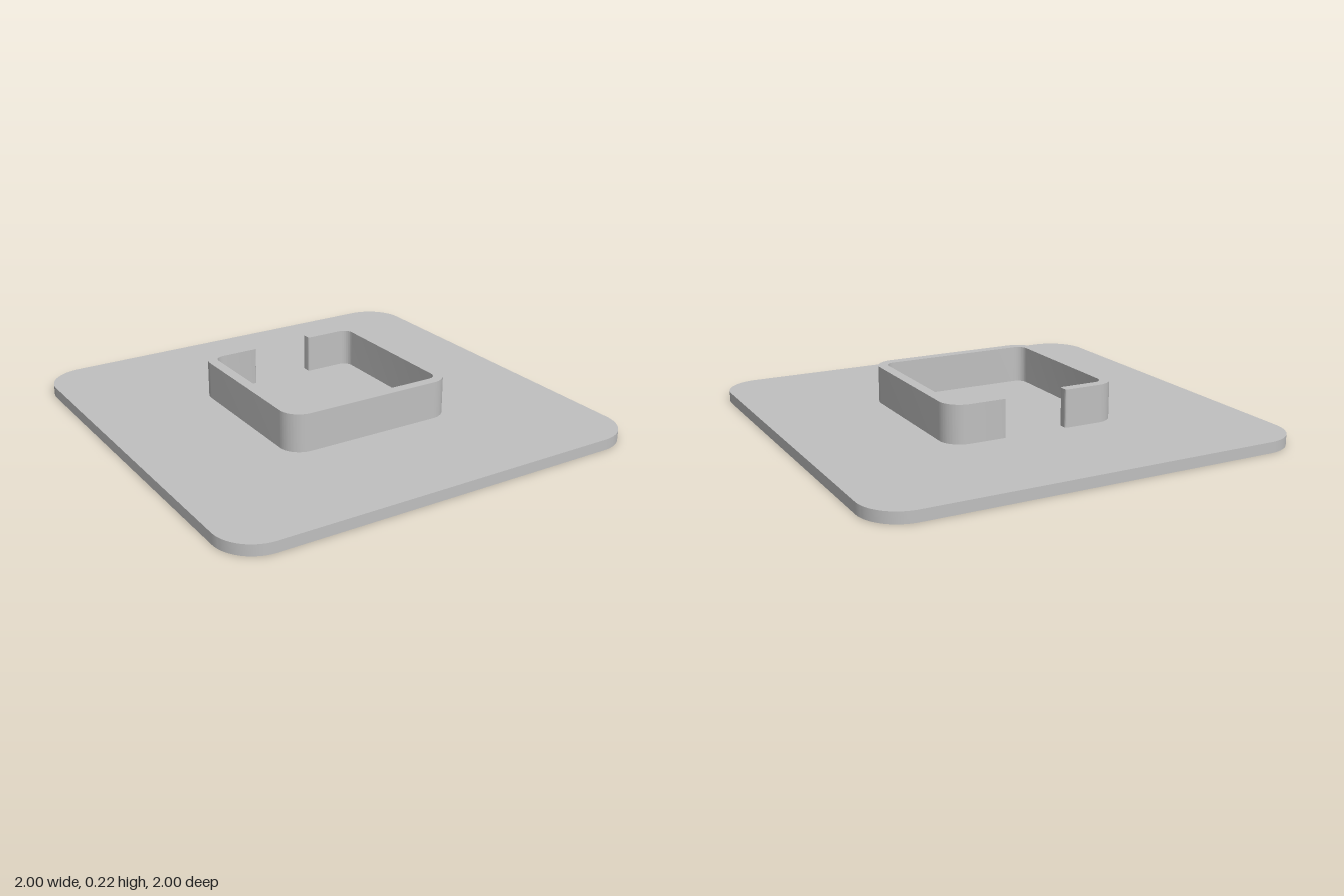
import * as THREE from 'three';
import { toCreasedNormals } from 'three/addons/utils/BufferGeometryUtils.js';

const Q = Math.PI / 2;

// Square outline of half-width h with rounded corners of radius r
function roundedSquare(h, r) {
  const s = new THREE.Shape();
  const c = h - r;
  s.absarc(c, c, r, 0, Q);
  s.absarc(-c, c, r, Q, 2 * Q);
  s.absarc(-c, -c, r, 2 * Q, 3 * Q);
  s.absarc(c, -c, r, 3 * Q, 4 * Q);
  s.closePath();
  return s;
}

// Square wall outline, open at the back between -gap and +gap
function openWall(outer, inner, rOut, rIn, gap, rEnd) {
  const s = new THREE.Shape();
  const a = outer - rOut, b = inner - rIn;
  // outside, from the left end round to the right end
  s.absarc(a, -a, rOut, 0, -Q, true);
  s.absarc(-a, -a, rOut, -Q, -2 * Q, true);
  s.absarc(-a, a, rOut, 2 * Q, Q, true);
  s.absarc(-gap - rEnd, outer - rEnd, rEnd, Q, 0, true);
  s.absarc(-gap - rEnd, inner + rEnd, rEnd, 0, -Q, true);
  // inside, back again
  s.absarc(-b, b, rIn, Q, 2 * Q);
  s.absarc(-b, -b, rIn, 2 * Q, 3 * Q);
  s.absarc(b, -b, rIn, 3 * Q, 4 * Q);
  s.absarc(b, b, rIn, 0, Q);
  s.absarc(gap + rEnd, inner + rEnd, rEnd, -Q, -2 * Q, true);
  s.absarc(gap + rEnd, outer - rEnd, rEnd, 2 * Q, Q, true);
  s.absarc(a, a, rOut, Q, 0, true);
  s.closePath();
  return s;
}

// Upright solid from an outline, shape y pointing to the back
function raise(shape, y, height, material, name) {
  const g = new THREE.ExtrudeGeometry(shape, { depth: height, bevelEnabled: false, curveSegments: 14 });
  g.rotateX(-Q);
  g.translate(0, y, 0);
  const mesh = new THREE.Mesh(toCreasedNormals(g, 0.5), material);
  mesh.name = name;
  return mesh;
}

export function createModel() {
  const model = new THREE.Group();
  model.name = 'plateWithOpenHolder';
  const grey = new THREE.MeshStandardMaterial({ color: 0xc0c0c0 });
  grey.name = 'light grey';

  model.add(raise(roundedSquare(1, 0.18), 0, 0.05, grey, 'basePlate'));
  model.add(raise(openWall(0.42, 0.372, 0.1, 0.045, 0.148, 0.01), 0.05, 0.175, grey, 'holderWall'));
  return model;
}
